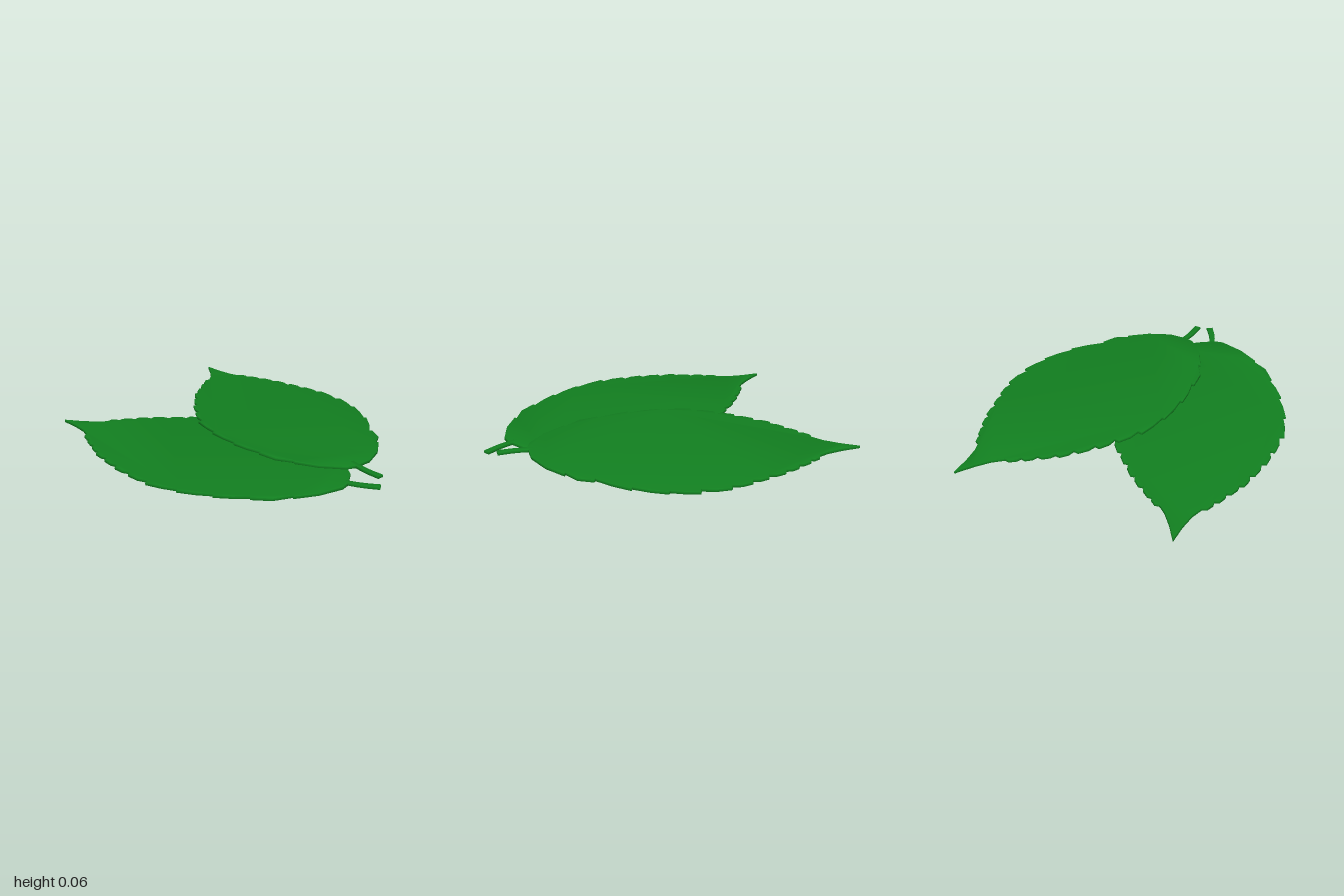
import * as THREE from 'three';
import { toCreasedNormals } from 'three/addons/utils/BufferGeometryUtils.js';

const green = new THREE.MeshStandardMaterial({ color: 0x128020 });

// Tooth points per side: [distance along the midrib, half width]
const leftTeeth = [
  [0.0, 0.056], [0.18, 0.278], [0.368, 0.392], [0.547, 0.46], [0.741, 0.498], [0.93, 0.5],
  [1.07, 0.457], [1.184, 0.418], [1.292, 0.363], [1.385, 0.315], [1.46, 0.254], [1.532, 0.199], [1.598, 0.142],
];
const rightTeeth = [
  [0.03, 0.115], [0.227, 0.309], [0.388, 0.375], [0.584, 0.466], [0.777, 0.504], [0.94, 0.502],
  [1.103, 0.461], [1.215, 0.405], [1.306, 0.353], [1.402, 0.298], [1.481, 0.241], [1.555, 0.18], [1.608, 0.134],
];
const neck = [[1.662, 0.072], [1.75, 0.034]]; // concave run up to the tip

// One side of the serrated outline, from base to neck
function side(teeth, sign) {
  const pts = [];
  teeth.forEach(([a, w], i) => {
    // a slightly swollen edge leading to each tooth
    if (i > 0) {
      const [a0, w0] = teeth[i - 1];
      const bulge = i < 3 ? 0.022 : 0.006;
      pts.push(new THREE.Vector2(sign * ((w + w0) / 2 + bulge - 0.008), (a + a0) / 2 - bulge * 0.5));
    }
    pts.push(new THREE.Vector2(sign * w, a));
    // notch stepping inward behind the tooth
    const step = i === 0 ? 0 : i < 5 ? 0.015 : 0.028;
    if (step) pts.push(new THREE.Vector2(sign * (w - step), a + 0.004));
  });
  neck.forEach(([a, w]) => pts.push(new THREE.Vector2(sign * w, a)));
  return pts;
}

// Thin bevelled slab lying on y = 0, outline y running towards -z
function slab(points, name) {
  const geo = new THREE.ExtrudeGeometry(new THREE.Shape(points), {
    depth: 0.008, bevelEnabled: true, bevelThickness: 0.005, bevelSize: 0.005, bevelOffset: -0.005, bevelSegments: 2,
  });
  geo.translate(0, 0, 0.005).rotateX(-Math.PI / 2);
  const mesh = new THREE.Mesh(toCreasedNormals(geo, 0.7), green);
  mesh.name = name;
  return mesh;
}

// Curved stem strip, a little wider at the cut end
function stemOutline() {
  const curve = new THREE.SplineCurve([
    new THREE.Vector2(0.012, 0.06), new THREE.Vector2(0.015, 0),
    new THREE.Vector2(0.026, -0.08), new THREE.Vector2(0.05, -0.165),
  ]);
  const right = [], left = [];
  for (let i = 0; i <= 10; i++) {
    const t = i / 10, p = curve.getPoint(t), d = curve.getTangent(t);
    const n = new THREE.Vector2(-d.y, d.x).multiplyScalar(0.015 + 0.005 * t);
    right.push(p.clone().add(n));
    left.unshift(p.clone().sub(n));
  }
  return [...right, ...left];
}

function makeLeaf(name) {
  const leaf = new THREE.Group();
  leaf.name = name;
  const outline = [
    new THREE.Vector2(0, -0.005),
    ...side(rightTeeth, 1),
    new THREE.Vector2(0, 1.855),
    ...side(leftTeeth, -1).reverse(),
  ];
  const blade = slab(outline, 'blade');
  const stem = slab(stemOutline(), 'stem');
  leaf.add(blade, stem);
  leaf.rotation.order = 'YXZ';
  return leaf;
}

export function createModel() {
  const model = new THREE.Group();
  model.name = 'leafPair';

  // Lower leaf lies flat
  const lower = makeLeaf('lowerLeaf');
  lower.position.set(-0.2, 0, 0.83);
  lower.rotation.y = 0.173;

  // Upper leaf rests on it, rolled slightly about its midrib
  const upper = makeLeaf('upperLeaf');
  upper.position.set(-0.03, 0.022, 0.77);
  upper.rotation.set(0, -0.425, -0.031);

  model.add(lower, upper);
  return model;
}
